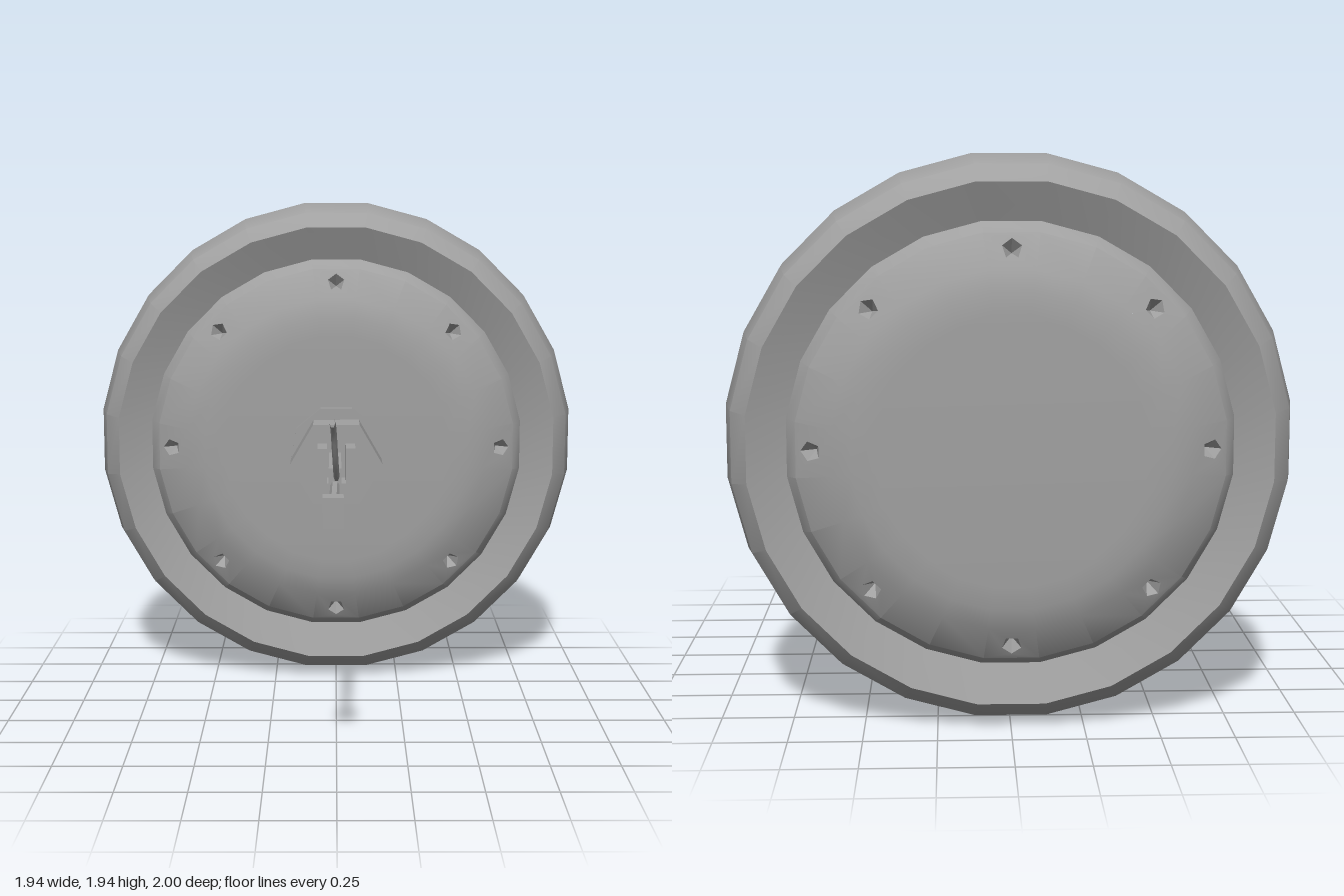
import * as THREE from 'three';
import { mergeGeometries, toCreasedNormals } from 'three/addons/utils/BufferGeometryUtils.js';

const SIDES = 24;
const STEP = (Math.PI * 2) / SIDES;
const AXLE_Y = 0.974;

const v2 = (list) => list.map(([x, y]) => new THREE.Vector2(x, y));

// Lathe turned about z, with facets centred on multiples of 15 degrees
function latheZ(profile) {
  return new THREE.LatheGeometry(v2(profile), SIDES, STEP / 2).rotateX(Math.PI / 2);
}

function strip(geo) {
  const g = geo.index ? geo.toNonIndexed() : geo;
  g.deleteAttribute('uv');
  return g;
}

// Sloping cover rim made of facets; every third one has a five-sided bolt pit
function coverRim(outer, inner) {
  const c = Math.cos(STEP / 2), s = Math.sin(STEP / 2);
  const [ro, zo] = outer, [ri, zi] = inner;
  const height = (x) => zi + ((x / c - ri) / (ro - ri)) * (zo - zi);
  const parts = [];
  for (let k = 0; k < SIDES; k++) {
    const shape = new THREE.Shape(v2([[ri * c, -ri * s], [ro * c, -ro * s], [ro * c, ro * s], [ri * c, ri * s]]));
    if (k % 3 === 0) {
      const ring = [];
      for (let i = 0; i < 5; i++) {
        const a = (i / 5) * Math.PI * 2;
        ring.push([0.662 + 0.034 * Math.cos(a), 0.034 * Math.sin(a)]);
      }
      shape.holes.push(new THREE.Path(v2(ring)));
      const pos = [];
      ring.forEach(([x, y], i) => {
        const [nx, ny] = ring[(i + 1) % 5];
        pos.push(x, y, height(x), nx, ny, height(nx), 0.645, 0, height(0.645) - 0.06);
      });
      const pit = new THREE.BufferGeometry();
      pit.setAttribute('position', new THREE.Float32BufferAttribute(pos, 3));
      pit.computeVertexNormals();
      parts.push(pit.rotateZ(k * STEP));
    }
    const facet = new THREE.ShapeGeometry(shape);
    const p = facet.attributes.position;
    for (let i = 0; i < p.count; i++) p.setZ(i, height(p.getX(i)));
    facet.computeVertexNormals();
    parts.push(strip(facet.rotateZ(k * STEP)));
  }
  return parts;
}

export function createModel() {
  const model = new THREE.Group();
  model.name = 'hubMotorWheel';
  const grey = new THREE.MeshStandardMaterial({ color: 0xa0a0a0 });
  grey.name = 'grey';

  function add(name, geo, x = 0, y = 0, z = 0, parent = model) {
    const mesh = new THREE.Mesh(toCreasedNormals(geo, 0.6), grey);
    mesh.name = name;
    mesh.position.set(x, y, z);
    parent.add(mesh);
    return mesh;
  }

  // Two matching halves of the wheel, back to back
  const rimOuter = [0.72, 0.31], rimInner = [0.6, 0.37];
  const tyreGeo = latheZ([[0.98, 0], [0.974, 0.11], [0.942, 0.25], [0.885, 0.305], [0.755, 0.25]]);
  const coverGeo = mergeGeometries([
    strip(latheZ([[0.755, 0.25], rimOuter])),
    ...coverRim(rimOuter, rimInner),
    strip(latheZ([rimInner, [0.53, 0.391], [0.45, 0.395], [0, 0.395]])),
  ]);
  for (const side of ['front', 'back']) {
    const half = new THREE.Group();
    half.name = side + 'WheelHalf';
    half.position.set(0, AXLE_Y, -0.605);
    if (side === 'back') half.rotation.y = Math.PI;
    add(side + 'Tyre', tyreGeo, 0, 0, 0, half);
    add(side + 'Cover', coverGeo, 0, 0, 0, half);
    model.add(half);
  }

  // Axle, washer and nut
  const disc = (r, depth, n, turn = 0) =>
    new THREE.CylinderGeometry(r, r, depth, n).rotateX(Math.PI / 2).rotateZ(turn);
  add('axleCollar', disc(0.11, 0.05, 10), 0, AXLE_Y, -0.2);
  add('washer', disc(0.183, 0.028, 9), 0, AXLE_Y, -0.175);
  add('axle', new THREE.BoxGeometry(0.14, 0.2, 0.24), 0, AXLE_Y + 0.005, -0.06);
  add('nut', disc(0.174, 0.14, 6, Math.PI / 6), 0, AXLE_Y + 0.005, 0.11);

  // Slotted axle end that lets the cable out
  const slot = new THREE.Shape(v2([
    [-0.07, 0.89], [0.07, 0.89], [0.07, 1.06], [0.035, 1.06],
    [0.035, 0.93], [-0.035, 0.93], [-0.035, 1.06], [-0.07, 1.06],
  ]));
  add('slottedAxleEnd', new THREE.ExtrudeGeometry(slot, { depth: 0.14, bevelEnabled: false }), 0, 0, 0.17);

  // Cable sheath, signal wire with plug, and loose wire
  add('cableSheath', new THREE.BoxGeometry(0.045, 0.08, 0.36), -0.005, 0.985, 0.355);
  const tube = (points, n, r) => new THREE.TubeGeometry(
    new THREE.CatmullRomCurve3(points.map((p) => new THREE.Vector3(...p))), n, r, 6);
  add('signalWire', tube([[-0.005, 0.965, 0.5], [-0.008, 0.96, 0.72], [-0.012, 0.957, 0.95]], 4, 0.017));
  add('plug', new THREE.BoxGeometry(0.07, 0.105, 0.065), -0.012, 0.955, 0.9675);
  const loose = tube([
    [0, 1.01, 0.5], [0, 1.012, 0.64], [-0.003, 1.055, 0.74], [-0.01, 1.13, 0.8],
    [-0.017, 1.205, 0.85], [-0.022, 1.235, 0.89], [-0.025, 1.245, 0.94],
  ], 14, 0.017);
  add('looseWire', loose.scale(0.6, 1, 1));

  return model;
}
